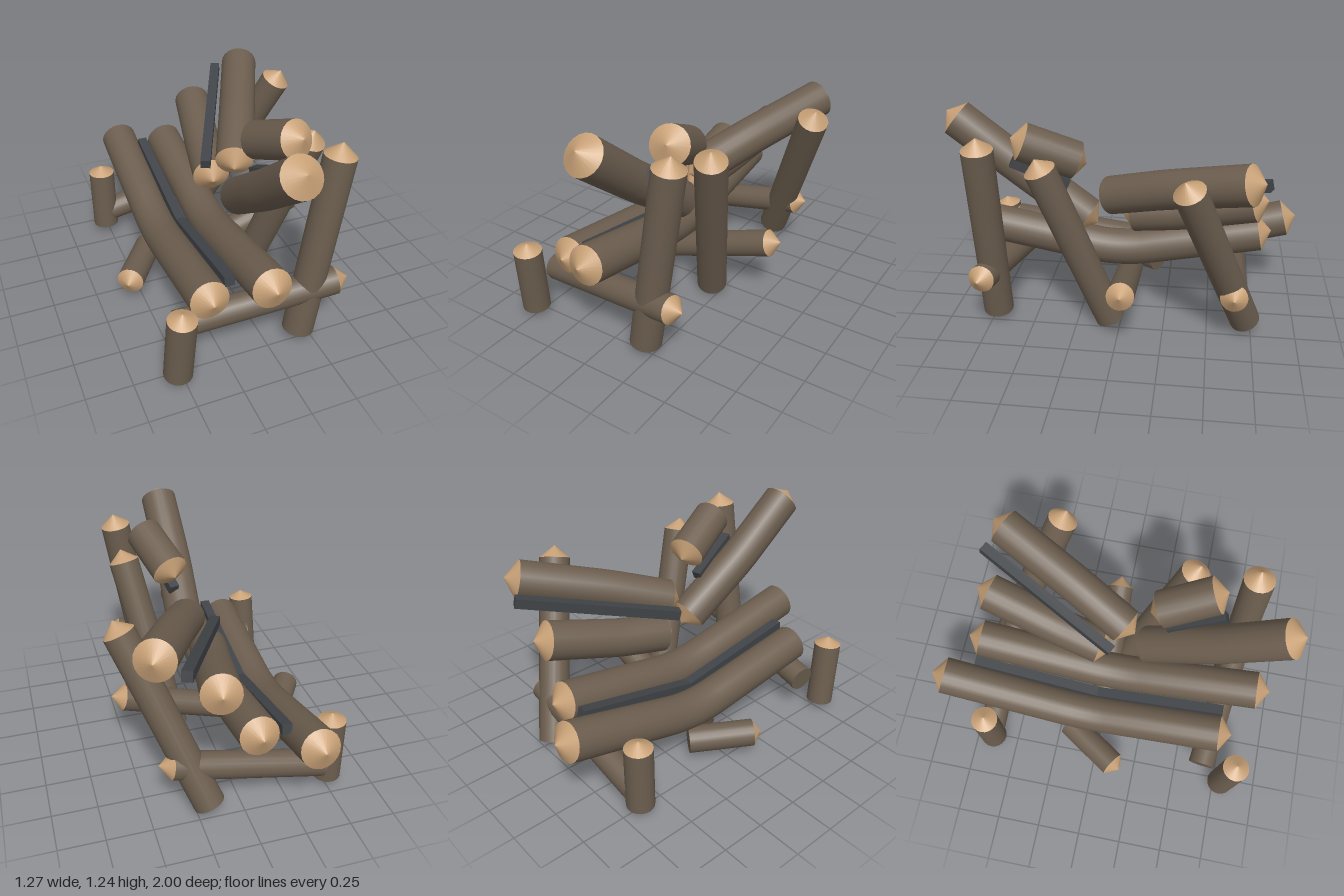
import * as THREE from 'three';

const SIDES = 20;
const V = (p) => new THREE.Vector3(...p);
const UP = new THREE.Vector3(0, 1, 0);

export function createModel() {
  const model = new THREE.Group();
  const bark = new THREE.MeshStandardMaterial({ color: 0x6c5e4f });
  bark.name = 'bark';
  const cutWood = new THREE.MeshStandardMaterial({ color: 0xc8a177 });
  cutWood.name = 'cut wood';
  const darkBar = new THREE.MeshStandardMaterial({ color: 0x404347 });
  darkBar.name = 'dark bar';

  // Pointed cut end: a shallow cone sitting at p and facing along dir
  function addTip(group, p, dir, r, h) {
    const tip = new THREE.Mesh(new THREE.ConeGeometry(r, h, SIDES, 1, true), cutWood);
    tip.name = 'logTip';
    tip.position.copy(p).addScaledVector(dir, h / 2);
    tip.quaternion.setFromUnitVectors(UP, dir);
    group.add(tip);
  }

  // Straight log from a to b, with a tip at b and optionally at a
  function straightLog(name, a, b, r, tipHeight = 0.07, bothEnds = false) {
    const group = new THREE.Group();
    group.name = name;
    const p = V(a), q = V(b);
    const dir = q.clone().sub(p);
    const length = dir.length();
    dir.normalize();
    const body = new THREE.Mesh(new THREE.CylinderGeometry(r, r, length, SIDES), bark);
    body.name = 'logBody';
    body.position.copy(p).lerp(q, 0.5);
    body.quaternion.setFromUnitVectors(UP, dir);
    group.add(body);
    addTip(group, q, dir, r, tipHeight);
    if (bothEnds) addTip(group, p, dir.clone().negate(), r, tipHeight);
    model.add(group);
  }

  // Log with one soft bend at m and a tip on both ends
  function bentLog(name, a, m, b, r, tipHeight = 0.07) {
    const group = new THREE.Group();
    group.name = name;
    const p = V(a), k = V(m), q = V(b);
    const k0 = k.clone().lerp(p, 0.2), k1 = k.clone().lerp(q, 0.2);
    const path = new THREE.CurvePath();
    path.add(new THREE.LineCurve3(p, k0));
    path.add(new THREE.QuadraticBezierCurve3(k0, k, k1));
    path.add(new THREE.LineCurve3(k1, q));
    const body = new THREE.Mesh(new THREE.TubeGeometry(path, 30, r, SIDES), bark);
    body.name = 'logBody';
    group.add(body);
    addTip(group, p, p.clone().sub(k).normalize(), r, tipHeight);
    addTip(group, q, q.clone().sub(k).normalize(), r, tipHeight);
    model.add(group);
  }

  // Square bar following a list of points
  function bar(name, points, size = 0.056) {
    const group = new THREE.Group();
    group.name = name;
    for (let i = 1; i < points.length; i++) {
      const p = V(points[i - 1]), q = V(points[i]);
      const part = new THREE.Mesh(new THREE.BoxGeometry(size, size, p.distanceTo(q)), darkBar);
      part.name = 'barSection';
      part.position.copy(p).lerp(q, 0.5);
      part.lookAt(q);
      group.add(part);
    }
    model.add(group);
  }

  // Seat: two bent logs with a bar between them
  bentLog('outerSeatLog', [-0.317, 0.385, 0.71], [-0.317, 0.27, -0.11], [-0.317, 0.49, -0.935], 0.107);
  bentLog('innerSeatLog', [-0.055, 0.51, 0.875], [-0.055, 0.355, 0.03], [-0.055, 0.51, -0.775], 0.107);
  bar('seatBar', [[-0.205, 0.468, 0.7], [-0.205, 0.35, -0.04], [-0.205, 0.515, -0.77]]);

  // Tall leaning posts
  const postRadius = 0.086;
  straightLog('frontTallPost', [0.19, 0.045, 0.725], [0.355, 1.09, 0.725], postRadius);
  straightLog('middleTallPost', [0.185, 0.03, 0.06], [0.373, 1.0, 0.395], postRadius);
  straightLog('backTallPost', [0.188, 0.07, -0.715], [0.555, 0.99, -0.385], postRadius);

  // Short posts on the low side
  straightLog('frontShortPost', [-0.525, 0.033, 0.79], [-0.507, 0.418, 0.83], 0.077, 0.045);
  straightLog('backShortPost', [-0.515, 0.045, -0.645], [-0.515, 0.42, -0.65], 0.077, 0.045);

  // Cross logs below the seat
  const crossRadius = 0.076;
  straightLog('frontCrossLog', [-0.484, 0.225, 0.645], [0.378, 0.34, 0.755], crossRadius);
  straightLog('middleCrossLog', [-0.317, 0.09, -0.005], [0.5, 0.355, -0.037], crossRadius);
  straightLog('backCrossLog', [-0.48, 0.135, -0.65], [0.37, 0.31, -0.64], crossRadius);
  straightLog('lowSideLog', [-0.37, 0.13, -0.18], [-0.572, 0.145, 0.125], crossRadius, 0.05);

  // Backrest, front half
  bentLog('frontBackrestLog', [0.033, 1.157, 0.93], [0.033, 0.877, 0.57], [0.06, 0.615, 0.2], 0.107);
  straightLog('shortBackrestLog', [0.135, 0.975, 0.245], [0.22, 1.1, 0.525], 0.105, 0.06, true);
  bar('frontBackrestBar', [[0.165, 0.965, 0.6], [0.1, 0.82, 0.3]]);

  // Backrest, rear half
  bentLog('upperRearBackrestLog', [0.09, 0.76, 0.065], [0.24, 0.87, -0.25], [0.445, 1.0, -0.695], 0.107);
  bentLog('lowerRearBackrestLog', [0.0, 0.62, -0.06], [0.05, 0.665, -0.32], [0.135, 0.775, -0.735], 0.107);
  bar('rearBackrestBar', [[-0.065, 0.74, 0.015], [0.32, 0.95, -0.79]]);

  return model;
}
